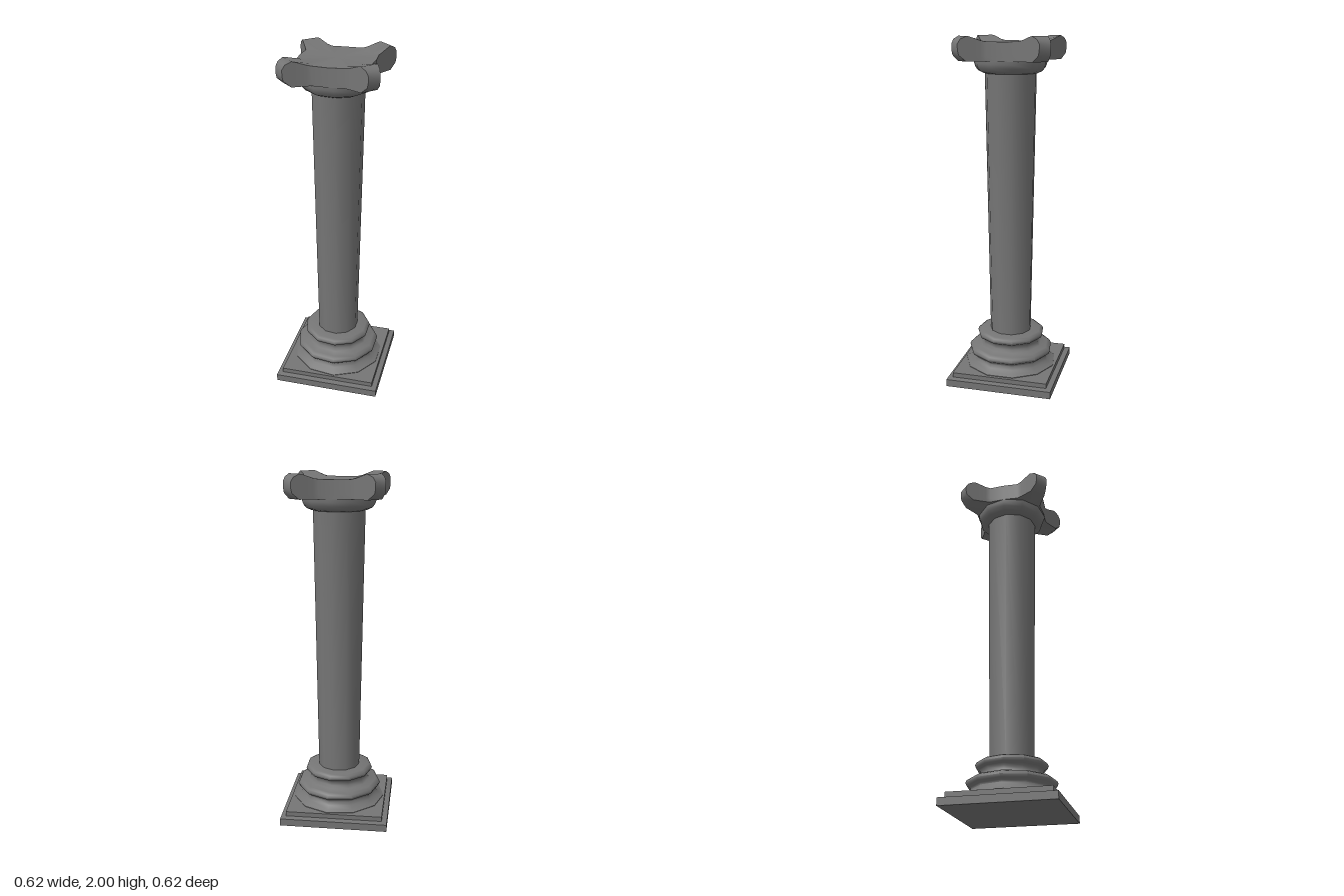
import * as THREE from 'three';
import { toCreasedNormals } from 'three/addons/utils/BufferGeometryUtils.js';

const material = new THREE.MeshStandardMaterial({ color: 0x757575 });
const SIDES = 11;

function addMesh(group, name, geometry, y = 0) {
  const mesh = new THREE.Mesh(geometry, material);
  mesh.name = name;
  mesh.position.y = y;
  group.add(mesh);
}

// Turned part from [radius, y] points, with one corner on -x
function turned(profile) {
  const points = profile.map(([r, y]) => new THREE.Vector2(r, y));
  return toCreasedNormals(new THREE.LatheGeometry(points, SIDES, -Math.PI / 2), 0.9);
}

// Square block whose top and bottom half-widths may differ
function squareBlock(top, bottom, height) {
  const geometry = new THREE.CylinderGeometry(top * Math.SQRT2, bottom * Math.SQRT2, height, 4, 1, false, Math.PI / 4);
  return toCreasedNormals(geometry, 0.3);
}

// Square slab with four concave sides and a rounded horn at each corner
function hornedSlab() {
  // Half of one corner: x, z, top y, and for the tip its shift along the horn's side
  const half = [
    [0.206, 0, 1.97, 0, 0], [0.2, 0.085, 1.971, 0, 0], [0.211, 0.112, 1.977, 0, 0],
    [0.24, 0.165, 1.998, 0, 0], [0.27, 0.22, 2, -0.03, -0.055],
  ];
  const mirrored = half.slice(1).reverse().map(([x, z, top, dx, dz]) => [z, x, top, dz, dx]);
  const outline = [];
  for (const [c, s] of [[1, 0], [0, 1], [-1, 0], [0, -1]]) {
    for (const [x, z, top, dx, dz] of [...half, ...mirrored]) {
      outline.push({
        x: x * c - z * s, z: x * s + z * c, top,
        dx: dx * c - dz * s, dz: dx * s + dz * c,
      });
    }
  }
  const bottom = 1.868;
  // Height fraction and how far the horn tip is drawn back
  const layers = [[0, 0.75], [0.25, 0.1], [0.45, 0], [0.7, 0], [0.88, 0.25], [1, 0.8]];
  const rings = layers.map(([f, pull]) => outline.map((p) => [
    p.x + p.dx * pull, bottom + (p.top - bottom) * f, p.z + p.dz * pull,
  ]));
  // Flat round middle of the top
  rings.push(outline.map(({ x, z }) => {
    const k = 0.185 / Math.hypot(x, z);
    return [x * k, 1.97, z * k];
  }));

  const n = outline.length;
  const positions = rings.flat(2);
  const index = [];
  for (let r = 0; r < rings.length - 1; r++) {
    for (let i = 0; i < n; i++) {
      const j = (i + 1) % n;
      const [a, b, c, d] = [r * n + i, r * n + j, (r + 1) * n + j, (r + 1) * n + i];
      index.push(a, c, b, a, d, c);
    }
  }
  // Close underside and top
  const low = rings.length * n;
  const last = low - n;
  positions.push(0, bottom, 0, 0, 1.97, 0);
  for (let i = 0; i < n; i++) {
    const j = (i + 1) % n;
    index.push(low, i, j, low + 1, last + j, last + i);
  }
  const geometry = new THREE.BufferGeometry();
  geometry.setAttribute('position', new THREE.Float32BufferAttribute(positions, 3));
  geometry.setIndex(index);
  return toCreasedNormals(geometry, 0.75);
}

export function createModel() {
  const column = new THREE.Group();
  column.name = 'column';

  // Square foot: slab with a shallow sloping rim, then a step
  addMesh(column, 'plinth', squareBlock(0.31, 0.31, 0.042), 0.021);
  addMesh(column, 'plinthRim', squareBlock(0.28, 0.31, 0.006), 0.045);
  addMesh(column, 'plinthStep', squareBlock(0.28, 0.28, 0.03), 0.06);

  // Moulded base
  addMesh(column, 'base', turned([
    [0.272, 0.07], [0.272, 0.078], [0.255, 0.088], [0.232, 0.105], [0.222, 0.125],
    [0.226, 0.135], [0.243, 0.145], [0.25, 0.16], [0.243, 0.175], [0.225, 0.185],
    [0.185, 0.19], [0.172, 0.205], [0.171, 0.225], [0.18, 0.236], [0.195, 0.244],
    [0.2, 0.258], [0.194, 0.272], [0.18, 0.28], [0.09, 0.28],
  ]));

  // Shaft, slightly wider at the top
  addMesh(column, 'shaft', turned([[0.122, 0.27], [0.147, 1.82]]));

  // Ring under the capital
  addMesh(column, 'neckRing', turned([
    [0.12, 1.797], [0.155, 1.798], [0.182, 1.81], [0.198, 1.828], [0.206, 1.85],
    [0.206, 1.872], [0.1, 1.872],
  ]));

  // Capital with four horns
  addMesh(column, 'capital', hornedSlab());
  return column;
}
